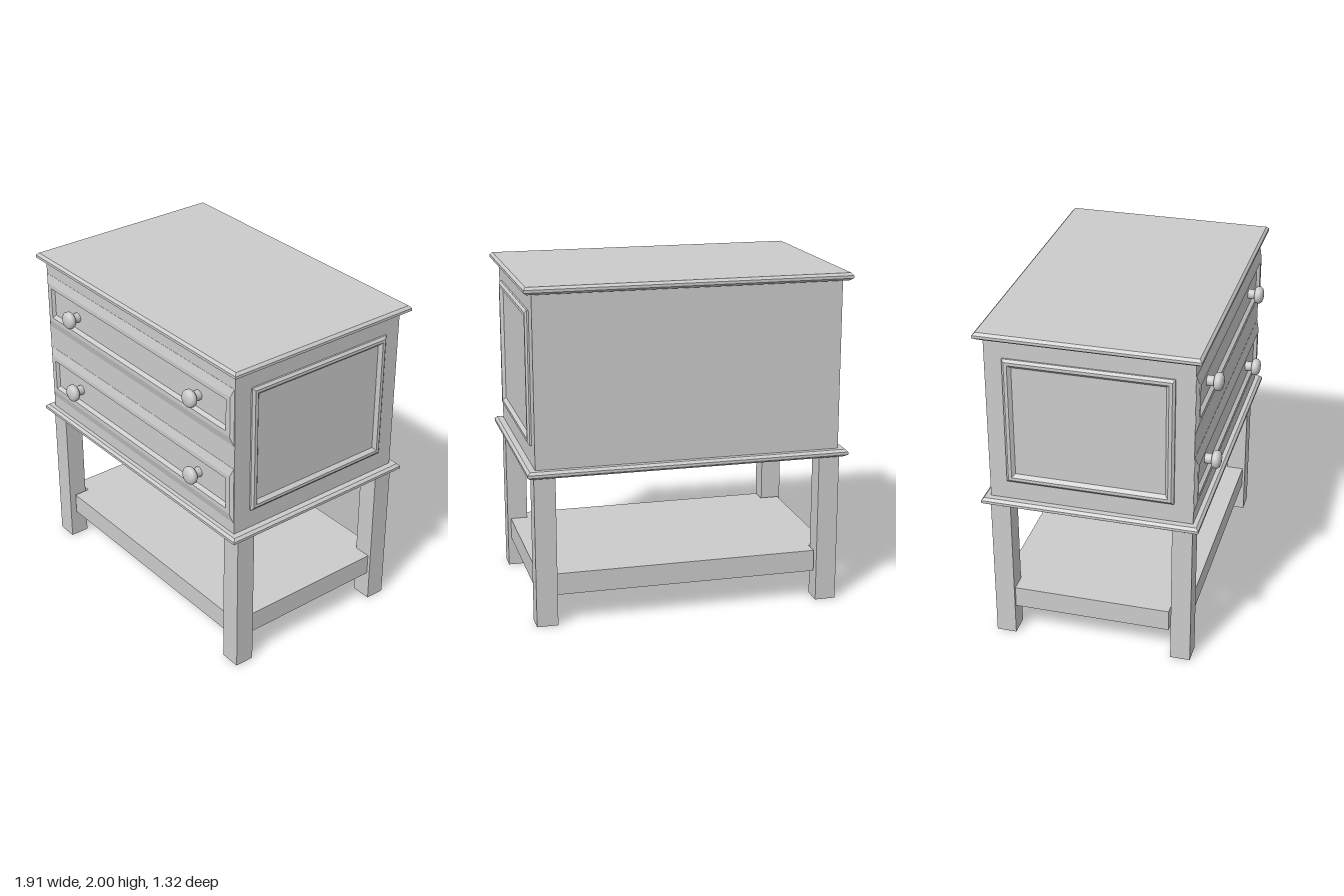
import * as THREE from 'three';

const material = new THREE.MeshStandardMaterial({ color: 0xcccccc, flatShading: true, side: THREE.DoubleSide });
const smooth = new THREE.MeshStandardMaterial({ color: 0xcccccc });

function add(parent, name, geometry, x = 0, y = 0, z = 0, mat = material) {
  const mesh = new THREE.Mesh(geometry, mat);
  mesh.name = name;
  mesh.position.set(x, y, z);
  parent.add(mesh);
  return mesh;
}

// Skin over rectangular rings [halfWidth, halfHeight, z], capped at both ends
function rectLoft(rings) {
  const pos = [];
  const corners = rings.map(([w, h, z]) => [[-w, -h, z], [w, -h, z], [w, h, z], [-w, h, z]]);
  const quad = (a, b, c, d) => pos.push(...a, ...b, ...c, ...a, ...c, ...d);
  for (let r = 0; r < rings.length - 1; r++) {
    for (let i = 0; i < 4; i++) {
      const j = (i + 1) % 4;
      quad(corners[r][i], corners[r][j], corners[r + 1][j], corners[r + 1][i]);
    }
  }
  quad(...corners[0].slice().reverse());
  quad(...corners[corners.length - 1]);
  const g = new THREE.BufferGeometry();
  g.setAttribute('position', new THREE.Float32BufferAttribute(pos, 3));
  g.computeVertexNormals();
  return g;
}

// Drops the faces lying on the lowest plane, leaving a hollow open underneath
function openBottom(geometry) {
  const src = geometry.index ? geometry.toNonIndexed() : geometry;
  src.computeBoundingBox();
  const low = src.boundingBox.min.y + 1e-4;
  const p = src.attributes.position;
  const pos = [];
  for (let i = 0; i < p.count; i += 3) {
    if ([0, 1, 2].every(k => p.getY(i + k) < low)) continue;
    for (let k = 0; k < 3; k++) pos.push(p.getX(i + k), p.getY(i + k), p.getZ(i + k));
  }
  const g = new THREE.BufferGeometry();
  g.setAttribute('position', new THREE.Float32BufferAttribute(pos, 3));
  g.computeVertexNormals();
  return g;
}

function rectPath(path, x0, y0, x1, y1) {
  path.moveTo(x0, y0);
  path.lineTo(x1, y0);
  path.lineTo(x1, y1);
  path.lineTo(x0, y1);
  path.closePath();
  return path;
}

export function createModel() {
  const model = new THREE.Group();
  model.name = 'nightstand';
  const drawerYs = [1.197, 1.695];

  // Top board and base moulding share one bevelled edge
  const moulding = rectLoft([
    [0.935, 0.618, 0], [0.955, 0.6375, 0.014], [0.955, 0.6375, 0.03], [0.94, 0.623, 0.045],
  ]).rotateX(-Math.PI / 2);
  add(model, 'topBoard', moulding, 0, 1.955, -0.0225);
  add(model, 'baseMoulding', moulding, 0, 0.903, -0.0225);

  // Cabinet body, with openings in the front for the sunken drawer panels
  add(model, 'cabinetBody', new THREE.BoxGeometry(1.81, 1.02, 1.155), 0, 1.452, -0.0375);
  const front = rectPath(new THREE.Shape(), -0.905, 0.942, 0.905, 1.962);
  for (const y of drawerYs) front.holes.push(rectPath(new THREE.Path(), -0.86, y - 0.11, 0.86, y + 0.11));
  add(model, 'cabinetFront', new THREE.ExtrudeGeometry(front, { depth: 0.035, bevelEnabled: false }), 0, 0, 0.54);

  // Drawer fronts: sloped outer edge, flat frame, sunken panel
  const drawer = rectLoft([
    [0.9, 0.177, 0.57], [0.9, 0.177, 0.576], [0.88, 0.125, 0.59], [0.845, 0.098, 0.59], [0.825, 0.063, 0.55],
  ]);
  const knob = new THREE.LatheGeometry([
    [0.03, 0.55], [0.03, 0.612], [0.042, 0.612], [0.052, 0.622], [0.053, 0.634],
    [0.052, 0.645], [0.042, 0.656], [0.025, 0.662], [0, 0.664],
  ].map(([r, h]) => new THREE.Vector2(r, h)), 20).rotateX(Math.PI / 2);
  for (const y of drawerYs) {
    add(model, 'drawerFront', drawer, 0, y, 0);
    for (const x of [-0.592, 0.583]) add(model, 'knob', knob, x, y, 0, smooth);
  }

  // Raised frames with a recessed panel on both sides
  const panel = rectLoft([
    [0.488, 0.39, 0.9], [0.488, 0.39, 0.915], [0.474, 0.375, 0.927], [0.455, 0.357, 0.927], [0.437, 0.338, 0.907],
  ]);
  for (const s of [-1, 1]) {
    add(model, 'sidePanel', panel, 0, 1.455, -0.0225).rotation.y = s * Math.PI / 2;
  }

  // Legs, hollow underneath
  const leg = openBottom(new THREE.BoxGeometry(0.125, 0.91, 0.118));
  for (const [x, z] of [[-0.8525, 0.516], [0.8525, 0.496], [-0.8525, -0.557], [0.8525, -0.557]]) {
    add(model, 'leg', leg, x, 0.455, z);
  }

  // Lower shelf with aprons, notched around the legs
  const shelf = new THREE.Shape([
    [-0.78, -0.54], [0.79, -0.54], [0.79, -0.44], [0.895, -0.44], [0.895, 0.5], [0.79, 0.5],
    [0.79, 0.595], [-0.78, 0.595], [-0.78, 0.5], [-0.895, 0.5], [-0.895, -0.44], [-0.78, -0.44],
  ].map(([x, y]) => new THREE.Vector2(x, y)));
  const shelfGeometry = new THREE.ExtrudeGeometry(shelf, { depth: 0.13, bevelEnabled: false }).rotateX(-Math.PI / 2);
  add(model, 'lowerShelf', openBottom(shelfGeometry), 0, 0.18, 0);

  return model;
}
